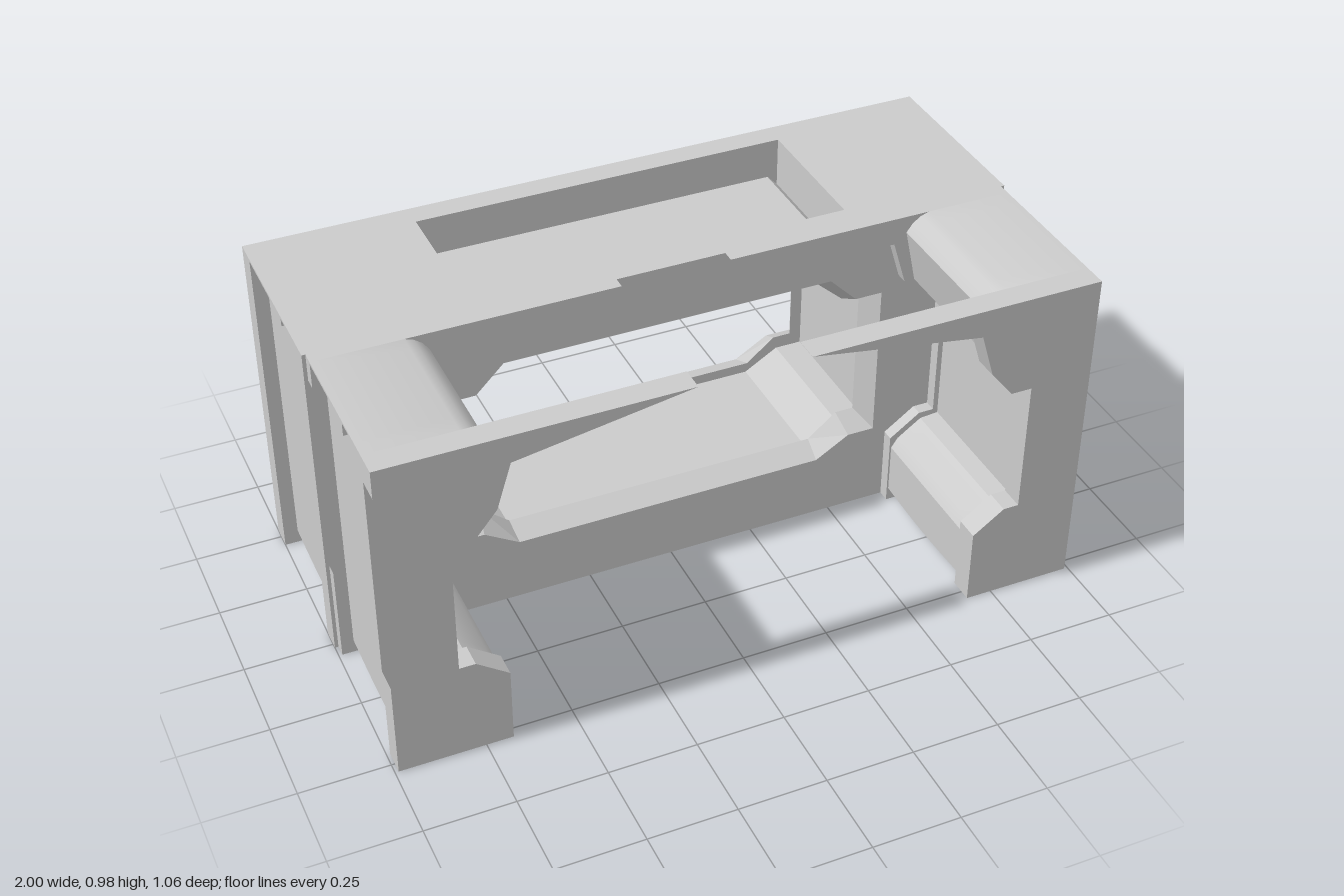
import * as THREE from 'three';
import { toCreasedNormals } from 'three/addons/utils/BufferGeometryUtils.js';

const material = new THREE.MeshStandardMaterial({ color: 0xcccccc });
const openMaterial = new THREE.MeshStandardMaterial({ color: 0xcccccc, side: THREE.DoubleSide });

const toShape = (pts) => new THREE.Shape(pts.map(([x, y]) => new THREE.Vector2(x, y)));
const flip = (pts) => pts.map(([x, y]) => [-x, y]).reverse();
const symmetric = (half) => [...half, ...flip(half)];
const near = (a, b) => Math.abs(a - b) < 1e-4;

// Slab with an outline in x/y, running from z0 to z1
function slab(shape, z0, z1, steps = 1) {
  const geo = new THREE.ExtrudeGeometry(shape, { depth: z1 - z0, steps, bevelEnabled: false });
  return geo.translate(0, 0, z0);
}

function addMesh(group, name, geo, mat = material) {
  const mesh = new THREE.Mesh(geo, mat);
  mesh.name = name;
  group.add(mesh);
  return mesh;
}

// Full plate whose window narrows from the outer face to the face at zInner
function windowPlate(z0, z1, zInner, wide, narrow) {
  const shape = toShape([[-1, 0], [1, 0], [1, 0.975], [-1, 0.975]]);
  shape.holes.push(toShape(wide));
  const geo = slab(shape, z0, z1);
  const p = geo.attributes.position;
  for (let i = 0; i < p.count; i++) {
    if (!near(p.getZ(i), zInner)) continue;
    const k = wide.findIndex(([x, y]) => near(x, p.getX(i)) && near(y, p.getY(i)));
    if (k >= 0) p.setXY(i, ...narrow[k]);
  }
  geo.computeVertexNormals();
  return geo;
}

// Bay body between two plates: its underside sags slightly in the middle
function body(shape, z0, z1) {
  const geo = slab(shape, z0, z1, 8);
  const p = geo.attributes.position;
  for (let i = 0; i < p.count; i++) {
    if (p.getY(i) < 0.05) p.setY(i, 0.04 - 0.008 * Math.sin(Math.PI * (p.getZ(i) - z0) / (z1 - z0)));
  }
  return toCreasedNormals(geo, 0.5);
}

// Half arch plate: the outer edge is left open between the two side heights
function archPlate(pts, z0, z1) {
  const geo = slab(toShape(pts), z0, z1);
  const p = geo.attributes.position;
  const kept = [];
  for (let i = 0; i < p.count; i += 3) {
    const tri = [i, i + 1, i + 2];
    const open = tri.every((v) => near(Math.abs(p.getX(v)), 0.99) && p.getY(v) > 0.28 && p.getY(v) < 0.9);
    if (!open) tri.forEach((v) => kept.push(p.getX(v), p.getY(v), p.getZ(v)));
  }
  const result = new THREE.BufferGeometry();
  result.setAttribute('position', new THREE.Float32BufferAttribute(kept, 3));
  result.computeVertexNormals();
  return result;
}

export function createModel() {
  const group = new THREE.Group();

  // Window outlines: wide on the outer faces, narrow on the inner ones
  const wide = symmetric([[0.455, 0.19], [0.555, 0.25], [0.635, 0.25], [0.635, 0.72], [0.555, 0.72], [0.475, 0.8]]);
  const narrow = symmetric([[0.46, 0.22], [0.545, 0.29], [0.6, 0.29], [0.6, 0.685], [0.545, 0.685], [0.455, 0.765]]);

  // Rear bay: two window plates
  addMesh(group, 'backPlate', windowPlate(-0.53, -0.46, -0.46, wide, narrow));
  addMesh(group, 'middlePlate', windowPlate(-0.05, 0.015, -0.05, wide, narrow));

  // Rear bay body: a tunnel wider than the lips of the plates, with a recess
  // in the roof and a thin side overhang
  const rear = toShape(symmetric([
    [0.96, 0.04], [0.96, 0.968], [1, 0.968], [1, 0.975], [0.54, 0.975], [0.54, 0.83], [0.51, 0.86],
  ]));
  rear.holes.push(toShape(wide));
  addMesh(group, 'rearBody', body(rear, -0.46, -0.05));

  // Front bay: arch plates and bodies, split in the middle
  const arch = [
    [0.99, 0], [0.99, 0.29], [0.99, 0.895], [0.99, 0.975], [0.155, 0.975], [0.645, 0.895], [0.685, 0.765],
    [0.75, 0.685], [0.81, 0.685], [0.81, 0.29], [0.765, 0.29], [0.675, 0.225], [0.675, 0],
  ];
  // The roof edge rolls over softly into the opening
  const frontHalf = [
    [0.955, 0.04], [0.955, 0.968], [0.99, 0.968], [0.99, 0.975], [0.745, 0.975], [0.72, 0.966], [0.698, 0.95],
    [0.68, 0.925], [0.715, 0.765], [0.77, 0.705], [0.825, 0.705], [0.825, 0.275],
    [0.77, 0.27], [0.7, 0.22], [0.68, 0.19], [0.68, 0.04],
  ];
  for (const [side, pick] of [['left', (p) => p], ['right', flip]]) {
    addMesh(group, side + 'FrontArch', archPlate(pick(arch), 0.46, 0.53), openMaterial);
    addMesh(group, side + 'InnerArch', archPlate(pick(arch), 0.015, 0.05), openMaterial);
    addMesh(group, side + 'FrontBody', body(toShape(pick(frontHalf)), 0.05, 0.46));
  }

  // Small brackets under the roof overhang, one per bay and side
  for (const s of [-1, 1]) {
    for (const z of [-0.255, 0.255]) {
      const bracket = addMesh(group, 'roofBracket', new THREE.BoxGeometry(0.03, 0.07, 0.035));
      bracket.position.set(s * (z < 0 ? 0.97 : 0.965), 0.934, z);
    }
  }
  return group;
}
